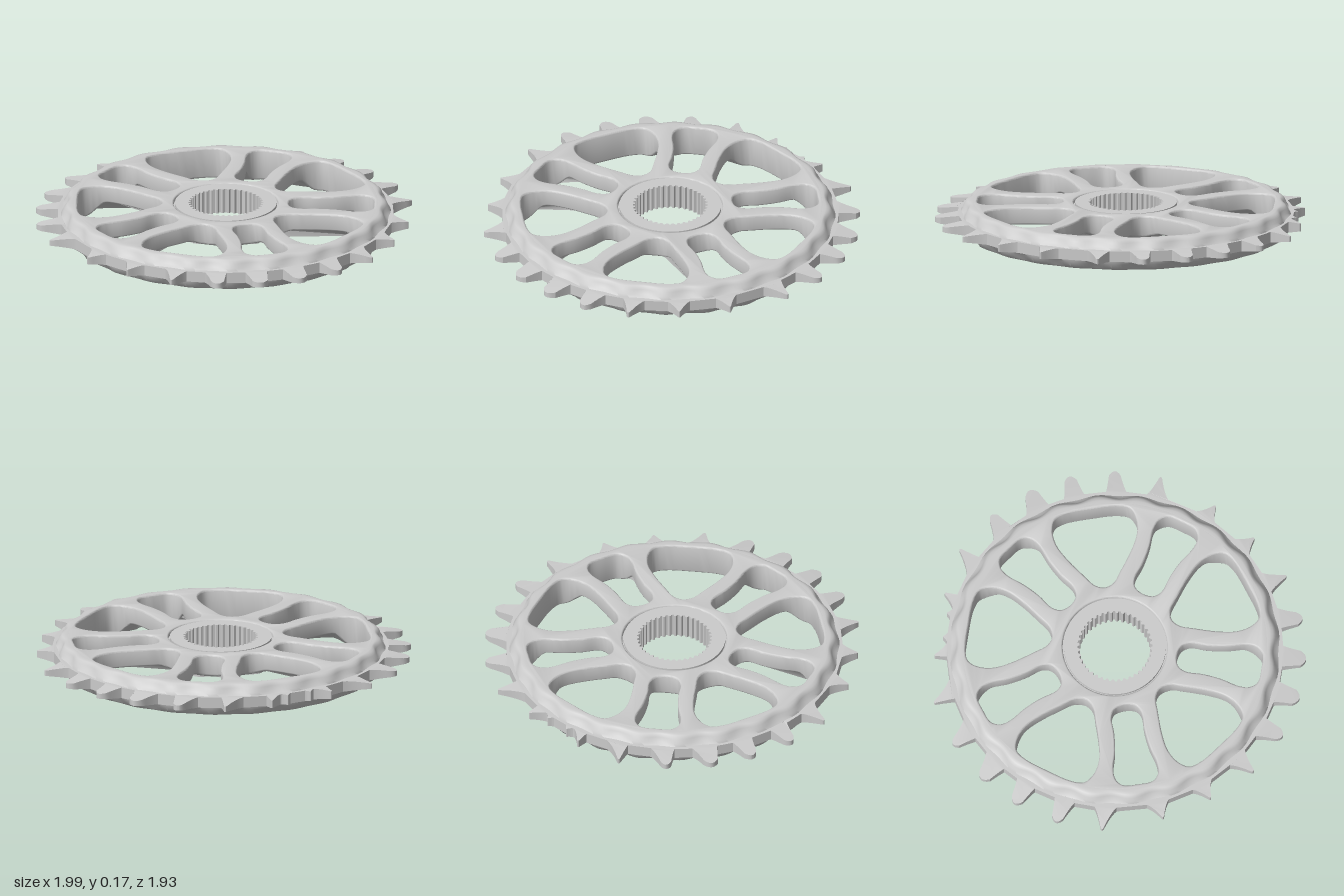
import * as THREE from 'three';
import { toCreasedNormals } from 'three/addons/utils/BufferGeometryUtils.js';

const V = (x, y) => new THREE.Vector2(x, y);
const { lerp, clamp, smoothstep } = THREE.MathUtils;
const material = new THREE.MeshStandardMaterial({ color: 0xcccccc });
const openMaterial = new THREE.MeshStandardMaterial({ color: 0xcccccc, side: THREE.DoubleSide });
const HEIGHT = 0.17, RIM = 0.81, BEVEL = 0.01;

// Closed ring of points whose radius may ripple.
const circle = (r, n = 96, ripple = 0, waves = 0) => Array.from({ length: n }, (_, i) => {
  const a = (i / n) * Math.PI * 2, R = r + ripple * Math.cos(waves * a);
  return V(R * Math.cos(a), R * Math.sin(a));
});

function shapeWithHoles(outline, holes) {
  const shape = new THREE.Shape(outline);
  shape.holes = holes.map((h) => new THREE.Path(h));
  return shape;
}

// Extrude a flat outline upwards from y0 to y1, with an optional edge bevel.
function slab(shape, y0, y1, bevel = 0) {
  const g = new THREE.ExtrudeGeometry(shape, {
    depth: y1 - y0 - 2 * bevel, bevelEnabled: bevel > 0, bevelThickness: bevel,
    bevelSize: bevel, bevelOffset: -bevel, bevelSegments: 3,
  });
  g.rotateX(-Math.PI / 2).translate(0, y0 + bevel, 0);
  return g;
}

// Smooth closed window from half a profile, mirrored and turned about the hub.
function windowPath(half, angle) {
  const mirrored = half.slice(1, -1).reverse().map(([x, y]) => [-x, y]);
  const pts = [...half, ...mirrored].map(([x, y]) => new THREE.Vector3(x, y, 0));
  const curve = new THREE.CatmullRomCurve3(pts, true, 'centripetal');
  return curve.getPoints(72).slice(0, -1).map((p) => V(p.x, p.y).rotateAround(V(0, 0), angle));
}

// Five wide windows alternate with five narrow slots between the arms.
function spiderGeometry() {
  const wide = [[0, 0.335], [0.05, 0.355], [0.1, 0.42], [0.17, 0.52], [0.215, 0.61],
    [0.223, 0.69], [0.2, 0.75], [0.14, 0.774], [0, 0.78]];
  const slot = [[0, 0.33], [0.055, 0.345], [0.08, 0.39], [0.08, 0.48], [0.092, 0.58],
    [0.117, 0.68], [0.113, 0.735], [0.08, 0.773], [0, 0.78]];
  const holes = [circle(0.275)];
  for (let i = 0; i < 5; i++) {
    holes.push(windowPath(wide, (i * Math.PI * 2) / 5));
    holes.push(windowPath(slot, ((i + 0.5) * Math.PI * 2) / 5));
  }
  const g = slab(shapeWithHoles(circle(RIM, 144), holes), 0, HEIGHT, BEVEL);
  // Hollow the underside: shallow arms between a deep rim and a deeper hub
  const p = g.attributes.position;
  for (let i = 0; i < p.count; i++) {
    if (p.getY(i) > HEIGHT / 2) continue;
    const r = Math.hypot(p.getX(i), p.getZ(i));
    const lift = 0.075 * (1 - smoothstep(r, 0.67, 0.775)) - 0.04 * (1 - smoothstep(r, 0.27, 0.4));
    p.setY(i, p.getY(i) + lift);
  }
  return toCreasedNormals(g, 0.6);
}

// Rim shoulders: a swept cross-section whose radius ripples around the ring.
function rimGeometry() {
  // radius, height, ripple strength
  const profile = [[0.8, 0, 0], [0.822, 0.001, 0.4], [0.838, 0.012, 1], [0.848, 0.035, 1], [0.866, 0.057, 0.4],
    [0.866, 0.113, 0.4], [0.85, 0.128, 1], [0.841, 0.15, 1], [0.828, 0.166, 0.8], [0.815, 0.17, 0.3], [0.8, HEIGHT, 0]];
  const n = 288, m = profile.length, pos = [], index = [];
  for (let i = 0; i <= n; i++) {
    const a = (i / n) * Math.PI * 2;
    const ripple = 0.01 * Math.cos(24 * a);
    for (const [r, y, k] of profile) {
      const R = r + k * ripple;
      pos.push(R * Math.sin(a), y, R * Math.cos(a));
    }
  }
  for (let i = 0; i < n; i++) {
    for (let j = 0; j < m - 1; j++) {
      const a = i * m + j, b = a + m;
      index.push(a, b, a + 1, b, b + 1, a + 1);
    }
  }
  const g = new THREE.BufferGeometry();
  g.setAttribute('position', new THREE.Float32BufferAttribute(pos, 3));
  g.setIndex(index);
  return toCreasedNormals(g, 0.7);
}

// Tooth ring: each tooth has root start, tip start, tip end, root end (degrees) and tip radius.
function teethGeometry() {
  const teeth = [
    [2.8, 4, 8.8, 10.4, 1.007], [16.8, 17.6, 21.6, 24.2, 1.004], [30.5, 33.4, 34.4, 38, 0.994],
    [46, 49.3, 50, 53.5, 0.966], [62.5, 65.5, 66.2, 70, 0.968], [80.5, 84.5, 85.4, 88, 1.001],
    [95, 97.2, 100.8, 102, 1.005], [109.5, 110.8, 114.8, 116.6, 1.004], [122.2, 123.4, 127.8, 130.8, 1.004],
    [137, 138, 141.2, 145, 1.0], [153, 153.8, 154.6, 160.5, 0.995], [168.5, 169, 169.8, 173.5, 0.95],
    [174, 175.5, 176, 177.2, 0.908],
  ];
  const root = 0.885;
  const polar = (deg, r) => {
    const a = (deg * Math.PI) / 180;
    return V(r * Math.sin(a), -r * Math.cos(a));
  };
  const bend = (a, b, c, n) => new THREE.QuadraticBezierCurve(a, b, c).getPoints(n);
  const half = [];
  for (const [r0, t0, t1, r1, R] of teeth) {
    const round = Math.min(0.028, 0.007 * (t1 - t0));
    const shoulder = R - round, waist = lerp(root, R, 0.25);
    half.push(...bend(polar(r0, root), polar(lerp(r0, t0, 0.5), waist), polar(t0, shoulder), 5));
    half.push(...bend(polar(t0, shoulder), polar((t0 + t1) / 2, R + round), polar(t1, shoulder), 8).slice(1));
    half.push(...bend(polar(t1, shoulder), polar(lerp(r1, t1, 0.5), waist), polar(r1, root), 5).slice(1));
  }
  const outline = [...half, ...half.slice().reverse().map((p) => V(-p.x, p.y))];
  const g = slab(shapeWithHoles(outline, [circle(0.8)]), -1, 1);
  // Thin the teeth towards their tips
  const p = g.attributes.position;
  for (let i = 0; i < p.count; i++) {
    const t = clamp((Math.hypot(p.getX(i), p.getZ(i)) - 0.888) / 0.112, 0, 1);
    p.setY(i, 0.086 + p.getY(i) * lerp(0.029, 0.014, t));
  }
  return toCreasedNormals(g, 0.5);
}

// Finely splined bore outline.
function boreOutline() {
  const splines = 40, bore = [];
  for (let i = 0; i < splines; i++) {
    [[0, 0.197], [0.3, 0.197], [0.5, 0.186], [0.8, 0.186]].forEach(([f, r]) => {
      const a = ((i + f) / splines) * Math.PI * 2;
      bore.push(V(r * Math.cos(a), r * Math.sin(a)));
    });
  }
  return bore;
}

export function createModel() {
  const model = new THREE.Group();
  model.name = 'chainring';
  const add = (name, geometry, mat = material) => {
    const mesh = new THREE.Mesh(geometry, mat);
    mesh.name = name;
    model.add(mesh);
  };
  add('spiderArms', spiderGeometry());
  add('rippledRim', rimGeometry(), openMaterial);
  add('teeth', teethGeometry());
  add('splinedHub', toCreasedNormals(slab(shapeWithHoles(circle(0.268), [boreOutline()]), 0.035, HEIGHT - 0.002), 0.4));
  // Floor of the narrow groove around the hub
  add('hubGroove', slab(shapeWithHoles(circle(0.29), [circle(0.25)]), 0.06, HEIGHT - 0.02));
  // Scalloped flange under the hub
  add('hubFlange', toCreasedNormals(
    slab(shapeWithHoles(circle(0.275, 160, 0.015, 10), [circle(0.23)]), 0.028, 0.07), 0.6));
  // The toothed ring sits slightly behind centre
  model.position.z = -0.035;
  const root = new THREE.Group();
  root.add(model);
  return root;
}
